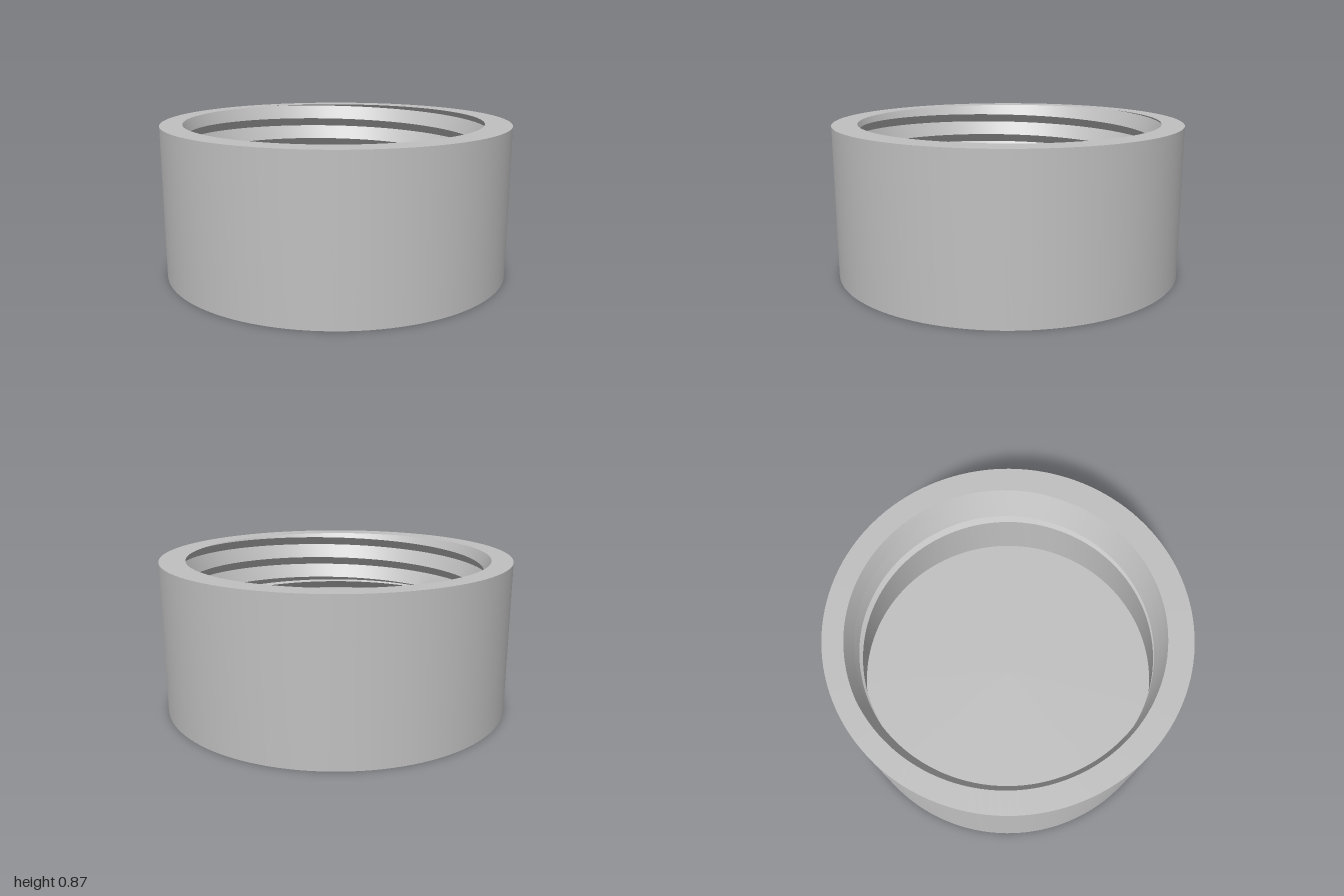
import * as THREE from 'three';
import { toCreasedNormals } from 'three/addons/utils/BufferGeometryUtils.js';

const HEIGHT = 0.865;
const SEGMENTS = 128;
const CREST = 0.845;   // inner radius at thread crests
const DEPTH = 0.045;   // thread depth
const PITCH = 0.14;
const FLANK = 0.055;   // height of the downward-facing flank
const THREAD_END = 0.33;

// Depth below the rim of a thread crest at an angle (right-handed helix)
const crestDepth = (a) => 0.1275 - PITCH * a / (Math.PI * 2);

// Inner radius of the thread at an angle and a depth below the rim
function threadRadius(a, d) {
  const s = THREE.MathUtils.euclideanModulo(d - crestDepth(a), PITCH);
  return CREST + DEPTH * (s < FLANK ? s / FLANK : (PITCH - s) / (PITCH - FLANK));
}

// Rim and thread: one radial section per angle, rows following the helix
function threadGeometry() {
  const positions = [], indices = [];
  let rows = 0;
  for (let i = 0; i <= SEGMENTS; i++) {
    const a = i / SEGMENTS * Math.PI * 2;
    const section = [[1, 0], [threadRadius(a, 0), 0]];
    for (let n = -1; n <= 3; n++) {
      for (const offset of [0, FLANK]) {
        const d = THREE.MathUtils.clamp(crestDepth(a) + n * PITCH + offset, 0, THREAD_END);
        section.push([threadRadius(a, d), d]);
      }
    }
    section.push([threadRadius(a, THREAD_END), THREAD_END], [CREST, THREAD_END + 0.01]);
    rows = section.length;
    for (const [r, d] of section) positions.push(r * Math.cos(a), HEIGHT - d, -r * Math.sin(a));
  }
  for (let i = 0; i < SEGMENTS; i++) {
    for (let j = 0; j < rows - 1; j++) {
      const p = i * rows + j, q = p + rows;
      indices.push(p, q, p + 1, q, q + 1, p + 1);
    }
  }
  const geometry = new THREE.BufferGeometry();
  geometry.setAttribute('position', new THREE.Float32BufferAttribute(positions, 3));
  geometry.setIndex(indices);
  return toCreasedNormals(geometry, 0.4);
}

function lathe(points) {
  const profile = points.map(([r, y]) => new THREE.Vector2(r, y));
  return toCreasedNormals(new THREE.LatheGeometry(profile, SEGMENTS), 0.4);
}

export function createModel() {
  const grey = new THREE.MeshStandardMaterial({ color: 0xc0c0c0 });
  grey.name = 'grey';
  const cap = new THREE.Group();
  cap.name = 'threadedCap';
  const add = (name, geometry) => {
    const mesh = new THREE.Mesh(geometry, grey);
    mesh.name = name;
    cap.add(mesh);
  };

  // Underside and outer wall
  add('outerShell', lathe([[0, 0], [1, 0], [1, HEIGHT]]));
  // Top rim and internal screw thread
  add('rimAndThread', threadGeometry());
  // Undercut below the thread, recess wall and floor
  const ledge = HEIGHT - THREAD_END - 0.01;
  add('recess', lathe([[CREST, ledge], [0.9, ledge - 0.055], [0.9, 0.12], [0, 0.12]]));
  return cap;
}
